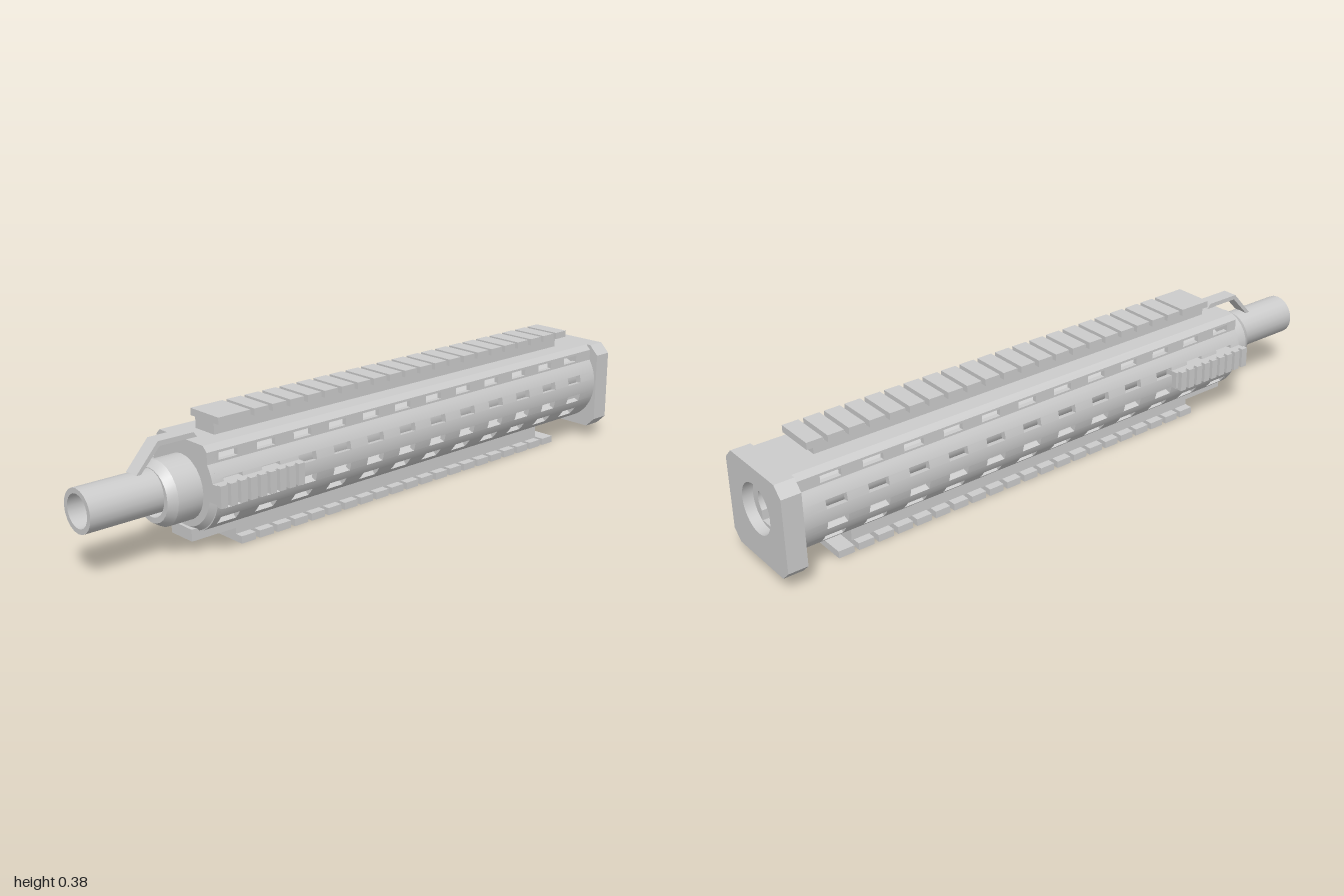
import * as THREE from 'three';
import { mergeGeometries, toCreasedNormals } from 'three/addons/utils/BufferGeometryUtils.js';

const CY = 0.195, R = 0.14, RI = 0.122; // shroud axis height, outer and inner radius
const BORE_Y = 0.199;
const FRONT = 0.655, BACK = -0.95;
const rad = THREE.MathUtils.degToRad;

export function createModel() {
  const group = new THREE.Group();
  const material = new THREE.MeshStandardMaterial({ color: 0xcccccc });

  const add = (name, geos) => {
    const list = [].concat(geos).map((g) => (g.index ? g.toNonIndexed() : g));
    const mesh = new THREE.Mesh(toCreasedNormals(mergeGeometries(list), 0.55), material);
    mesh.name = name;
    group.add(mesh);
  };
  // prism with an xy outline, running from z0 to z1
  const prism = (pts, z0, z1, holes = []) => {
    const shape = new THREE.Shape(pts.map(([x, y]) => new THREE.Vector2(x, y)));
    holes.forEach((h) => shape.holes.push(new THREE.Path(h.map(([x, y]) => new THREE.Vector2(x, y)))));
    return new THREE.ExtrudeGeometry(shape, { depth: z1 - z0, bevelEnabled: false }).translate(0, 0, z0);
  };
  const box = (x0, x1, y0, y1, z0, z1) =>
    new THREE.BoxGeometry(x1 - x0, y1 - y0, z1 - z0).translate((x0 + x1) / 2, (y0 + y1) / 2, (z0 + z1) / 2);
  const arc = (r, a0, a1, n, cy = CY) => Array.from({ length: n + 1 }, (_, i) => {
    const a = rad(a0 + ((a1 - a0) * i) / n);
    return [r * Math.cos(a), cy + r * Math.sin(a)];
  });
  // turned part along z; the closed profile is [radius, z]
  const turned = (profile, y, segments = 24) =>
    new THREE.LatheGeometry(profile.map(([r, z]) => new THREE.Vector2(r, z)), segments)
      .rotateX(Math.PI / 2).translate(0, y, 0);
  const mirror = (pts, s) => pts.map(([x, y]) => [x * s, y]);

  // Shroud walls: bands around the section, slotted bands are broken into bridges
  const band = (a0, a1) => {
    const n = Math.max(1, Math.round(Math.abs(a1 - a0) / 6));
    return [...arc(R, a0, a1, n), ...arc(RI, a1, a0, n)];
  };
  const bands = [
    { pts: [[0.115, 0.309], [0.115, 0.302], [0.1, 0.302], [0.1, 0.309]] },
    { pts: [[0.115, 0.302], [0.115, 0.281], [0.1, 0.281], [0.1, 0.302]], slots: true },
    { pts: [[0.115, 0.281], [0.115, 0.265], [0.1, 0.265], [0.1, 0.281]] },
    { pts: band(35, 17.7) },
    { pts: band(17.7, 7.2), slots: true },
    { pts: band(7.2, -9.2) },
    { pts: band(-9.2, -19.8), slots: true },
    { pts: band(-19.8, -32.5) },
    { pts: band(-32.5, -45.5), slots: true },
    { pts: band(-45.5, -90) },
  ];
  const slotCentre = (i) => 0.6 - i * 0.1305, HALF = 0.032;
  const walls = [];
  for (const s of [1, -1]) {
    for (const { pts, slots } of bands) {
      const outline = mirror(pts, s);
      if (!slots) { walls.push(prism(outline, BACK, FRONT)); continue; }
      let z1 = FRONT;
      for (let i = 0; i < 12; i++) {
        walls.push(prism(outline, slotCentre(i) + HALF, z1));
        z1 = slotCentre(i) - HALF;
      }
      walls.push(prism(outline, BACK, z1));
    }
  }
  add('shroudWalls', walls);
  add('shroudTop', prism([[-0.115, 0.305], [0.115, 0.305], [0.115, 0.309], [0.099, 0.325],
    [-0.099, 0.325], [-0.115, 0.309]], BACK, 0.67));

  // Front cap with a bevelled lower rim
  add('frontCap', [
    prism([...arc(RI, -170, -10, 24), [0.115, 0.2], [0.115, 0.309], [0.099, 0.325],
      [-0.099, 0.325], [-0.115, 0.309], [-0.115, 0.2]], 0.64, 0.67, [arc(0.07, 360, 0, 24)]),
    ...[1, -1].map((s) => prism(mirror([[0.114, 0.173], ...arc(R, -9, 35, 7)], s), 0.64, 0.67)),
  ]);
  const rim = new THREE.LatheGeometry(
    [[0.115, 0.64], [R, 0.64], [R, 0.652], [RI, 0.67], [0.115, 0.67], [0.115, 0.64]].map(([r, z]) => new THREE.Vector2(r, z)),
    24, rad(-80), rad(160)).rotateX(Math.PI / 2).translate(0, CY, 0);
  add('frontRim', rim);

  // End block with its round recess and notched disc
  add('endBlock', prism([[-0.115, 0.04], [0.115, 0.04], [0.146, 0.07], [0.146, 0.294], [0.115, 0.325],
    [-0.115, 0.325], [-0.146, 0.294], [-0.146, 0.07]], -1, -0.94, [arc(0.075, 360, 0, 28, BORE_Y)]));
  add('recessDisc', prism(arc(0.077, 0, 360, 28, BORE_Y).slice(0, -1), -0.968, -0.942,
    [[...arc(0.048, -45, 225, 18, BORE_Y), [-0.034, 0.135], [0.034, 0.135]]]));

  // Tube and collar
  add('tube', turned([[0.048, -0.945], [0.063, -0.945], [0.063, 1], [0.048, 1], [0.048, -0.945]], BORE_Y, 20));
  add('collar', turned([[0.062, 0.6], [0.094, 0.6], [0.094, 0.75], [0.078, 0.775], [0.062, 0.775], [0.062, 0.6]], 0.186));

  // Bent strap from the shroud top down to the tube
  const strap = prism([[0.63, 0.322], [0.645, 0.34], [0.76, 0.34], [0.832, 0.26], [0.817, 0.26], [0.755, 0.326], [0.67, 0.326], [0.67, 0.322]],
    -0.024, 0.024).rotateY(-Math.PI / 2);
  add('strap', strap);

  // Row of teeth from zStart backwards
  const teeth = (count, zStart, pitch, width, x0, x1, y0, y1) =>
    Array.from({ length: count }, (_, i) =>
      box(x0, x1, y0, y1, zStart - i * pitch - width, zStart - i * pitch));

  add('topRail', [
    box(-0.042, 0.042, 0.32, 0.358, -0.84, 0.59),
    box(-0.063, 0.063, 0.357, 0.378, 0.48, 0.59),
    ...teeth(21, 0.466, 0.0643, 0.05, -0.063, 0.063, 0.357, 0.378),
  ]);
  add('bottomRail', [
    box(-0.047, 0.047, 0.04, 0.075, -0.75, 0.68),
    box(-0.047, 0.047, 0.021, 0.045, -0.75, 0.53),
    ...teeth(21, 0.53, 0.0644, 0.05, -0.073, 0.073, 0, 0.022),
  ]);
  for (const s of [1, -1]) {
    const span = (a, b) => (s > 0 ? [a, b] : [-b, -a]);
    add(s > 0 ? 'leftRail' : 'rightRail', [
      box(...span(0.115, 0.158), 0.173, 0.227, 0.37, 0.67),
      ...teeth(9, 0.67, 0.0335, 0.022, ...span(0.156, 0.172), 0.167, 0.23),
    ]);
  }
  return group;
}
